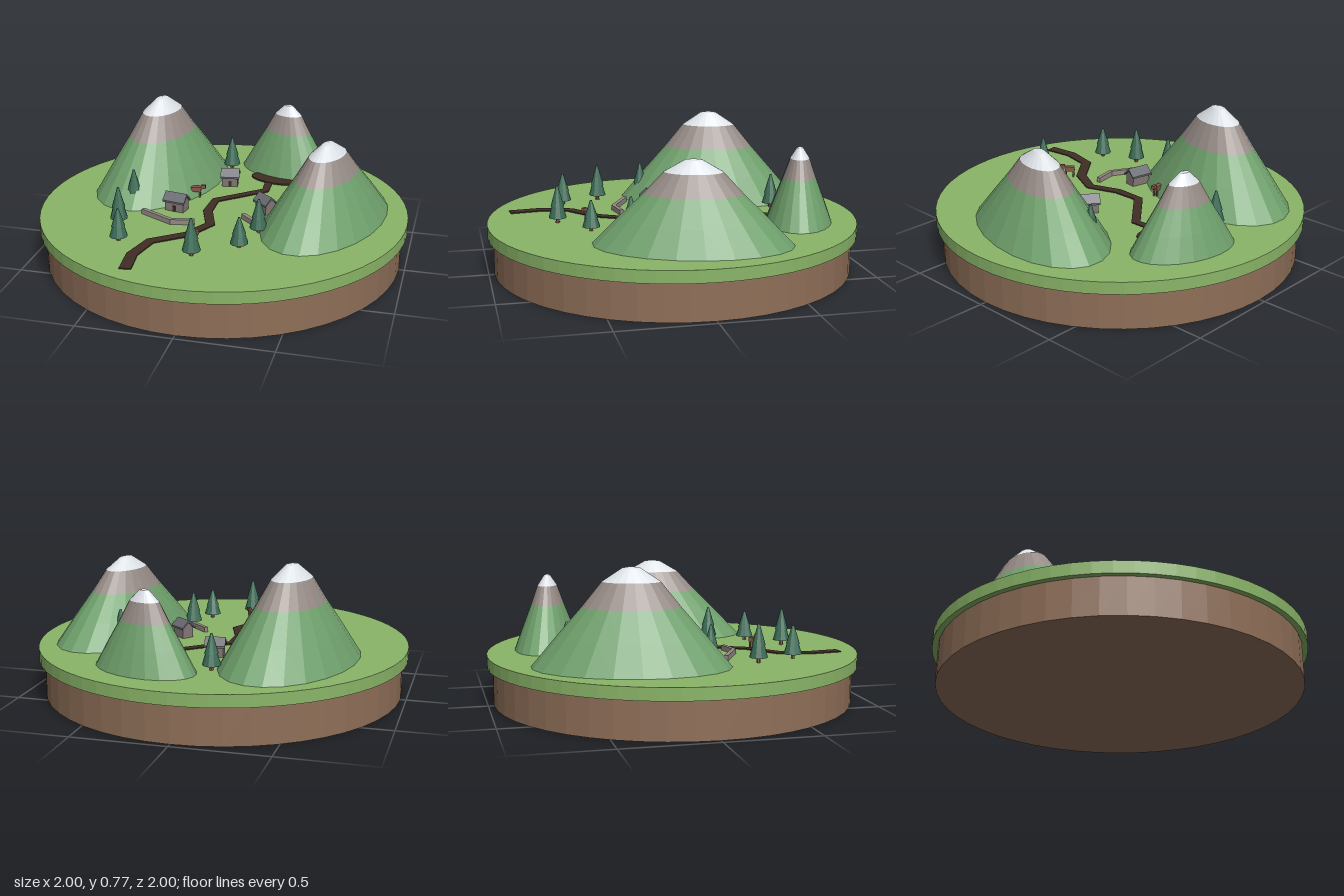
import * as THREE from 'three';

const mat = (name, color) => new THREE.MeshStandardMaterial({ name, color });
const M = {
  grass: mat('grass green', 0x8ab568),
  soil: mat('soil brown', 0x8f6f58),
  hill: mat('hillside green', 0x6fa06c),
  rock: mat('rock grey', 0x968b86),
  snow: mat('snow white', 0xdde2e7),
  path: mat('dark earth', 0x3f2d25),
  leaf: mat('pine green', 0x3a6b55),
  wood: mat('warm brown', 0x85594a),
  roof: mat('slate grey', 0x6a6a72),
  stone: mat('house stone', 0x827775),
};
const GROUND = 0.265;

// Unshared vertices give crisp facets
function faceted(geo) {
  const g = geo.index ? geo.toNonIndexed() : geo;
  g.computeVertexNormals();
  return g;
}

function add(parent, name, geo, material, x = 0, y = 0, z = 0) {
  const m = new THREE.Mesh(geo, material);
  m.name = name;
  m.position.set(x, y, z);
  parent.add(m);
  return m;
}

function group(parent, name, x, z, turn = 0) {
  const g = new THREE.Group();
  g.name = name;
  g.position.set(x, GROUND, z);
  g.rotation.y = turn;
  parent.add(g);
  return g;
}

// Elliptical peak in three colour bands; each profile point is [radius, height]
function mountain(parent, x, z, height, wide, long, degrees) {
  const g = group(parent, 'mountain', x, z, THREE.MathUtils.degToRad(degrees));
  const bands = [
    ['slope', M.hill, [[1, 0], [0.75, 0.3], [0.49, 0.6]]],
    ['rockBand', M.rock, [[0.49, 0.6], [0.29, 0.85]]],
    ['snowCap', M.snow, [[0.29, 0.85], [0.09, 0.985], [0, 1]]],
  ];
  for (const [name, material, pts] of bands) {
    const geo = new THREE.LatheGeometry(pts.map(p => new THREE.Vector2(...p)), 22);
    geo.scale(wide, height, long);
    add(g, name, faceted(geo), material);
  }
}

// Two-tier pine
function tree(parent, x, z, h) {
  const g = group(parent, 'pineTree', x, z, x * 7);
  const s = h / 0.2;
  g.scale.set(1, s, 1);
  add(g, 'trunk', faceted(new THREE.CylinderGeometry(0.009, 0.011, 0.05, 6)), M.wood, 0, 0.025);
  add(g, 'lowerBranches', faceted(new THREE.CylinderGeometry(0.022, 0.048, 0.095, 10)), M.leaf, 0, 0.0755);
  add(g, 'upperBranches', faceted(new THREE.CylinderGeometry(0.005, 0.036, 0.11, 10)), M.leaf, 0, 0.145);
}

function polygon(points) {
  return new THREE.Shape(points.map(p => new THREE.Vector2(...p)));
}

// Shape extruded along x and centred
function ridgeExtrude(points, length) {
  const geo = new THREE.ExtrudeGeometry(polygon(points), { depth: length, bevelEnabled: false });
  return geo.translate(0, 0, -length / 2).rotateY(Math.PI / 2);
}

function house(parent, x, z, length, width, turn) {
  const g = group(parent, 'house', x, z, turn);
  const w = width / 2, b = w - 0.01;
  add(g, 'walls', ridgeExtrude([[-b, 0], [b, 0], [b, 0.056], [0, 0.09], [-b, 0.056]], length - 0.02), M.stone);
  add(g, 'roof', ridgeExtrude([[-w, 0.05], [0, 0.088], [w, 0.05], [w, 0.06], [0, 0.1], [-w, 0.06]], length), M.roof);
  add(g, 'door', new THREE.BoxGeometry(0.018, 0.034, 0.004), M.path, 0, 0.017, b);
}

// Low stone wall following a few points
function wall(parent, pts) {
  for (let i = 0; i + 1 < pts.length; i++) {
    const [x0, z0] = pts[i], [x1, z1] = pts[i + 1];
    const g = group(parent, 'stoneWall', (x0 + x1) / 2, (z0 + z1) / 2, -Math.atan2(z1 - z0, x1 - x0));
    const length = Math.hypot(x1 - x0, z1 - z0);
    add(g, 'wallStones', new THREE.BoxGeometry(length + 0.01, 0.028, 0.022), M.rock, 0, 0.014);
  }
}

// Grazing animal facing its own +x
function animal(parent, x, z, turn) {
  const g = group(parent, 'animal', x, z, turn);
  add(g, 'body', new THREE.BoxGeometry(0.055, 0.026, 0.028), M.wood, -0.008, 0.046);
  add(g, 'head', new THREE.BoxGeometry(0.026, 0.02, 0.018), M.wood, 0.032, 0.06);
  for (const lx of [-0.029, 0.013])
    for (const lz of [-0.009, 0.009])
      add(g, 'leg', new THREE.BoxGeometry(0.008, 0.034, 0.008), M.wood, lx, 0.017, lz);
}

// Flat ribbon of ground along a bent line, widening towards its end
function ribbon(pts) {
  const left = [], right = [];
  pts.forEach(([x, z], i) => {
    const a = pts[Math.max(i - 1, 0)], b = pts[Math.min(i + 1, pts.length - 1)];
    const dx = b[0] - a[0], dz = b[1] - a[1], l = Math.hypot(dx, dz);
    const h = 0.023 + 0.008 * i / (pts.length - 1);
    left.push([x + dz / l * h, -(z - dx / l * h)]);
    right.unshift([x - dz / l * h, -(z + dx / l * h)]);
  });
  return new THREE.ExtrudeGeometry(polygon([...left, ...right]), { depth: 0.006, bevelEnabled: false })
    .rotateX(-Math.PI / 2);
}

export function createModel() {
  const root = new THREE.Group();
  root.name = 'mountainValley';

  // Round base
  add(root, 'soilBase', faceted(new THREE.CylinderGeometry(0.97, 0.97, 0.2, 48)), M.soil, 0, 0.1);
  add(root, 'grassTop', faceted(new THREE.CylinderGeometry(1, 1, 0.065, 64)), M.grass, 0, 0.2325);

  // Mountains
  mountain(root, -0.44, -0.315, 0.505, 0.322, 0.507, -14.5);
  mountain(root, 0.227, -0.648, 0.405, 0.178, 0.285, 72);
  mountain(root, 0.565, 0.018, 0.435, 0.294, 0.507, -15.7);

  // Winding path and the bare patch at its head
  add(root, 'path', ribbon([[0.165, -0.42], [0.172, -0.28], [-0.067, -0.075], [-0.07, 0.08], [-0.013, 0.245],
    [-0.095, 0.4], [-0.257, 0.525], [-0.298, 0.695], [-0.28, 0.857]]), M.path, 0, GROUND);
  const patch = group(root, 'barePatch', 0.178, -0.46, -0.31);
  add(patch, 'patchEarth', new THREE.CylinderGeometry(1, 1, 0.008, 24).scale(0.138, 1, 0.065), M.path, 0, 0.004);

  // Trees: x, z, height
  const trees = [[-0.49, 0.335, 0.2], [-0.42, 0.545, 0.175], [-0.01, 0.625, 0.2], [0.198, 0.475, 0.163],
    [0.255, 0.275, 0.185], [-0.098, -0.592, 0.188], [-0.487, 0.083, 0.205], [0.495, -0.272, 0.2]];
  for (const t of trees) tree(root, ...t);

  // Houses
  house(root, -0.045, -0.33, 0.108, 0.09, 0.15);
  house(root, -0.243, 0.093, 0.13, 0.085, -0.19);
  house(root, 0.232, 0.003, 0.112, 0.085, -0.7);

  // Walls
  wall(root, [[-0.4, 0.19], [-0.22, 0.285], [-0.1, 0.262]]);
  wall(root, [[0.14, 0.125], [0.25, 0.23]]);

  // Animals
  animal(root, -0.18, -0.11, 0.15);
  animal(root, -0.045, 0.455, -0.85);
  animal(root, 0.325, -0.075, 1.25);

  return root;
}
